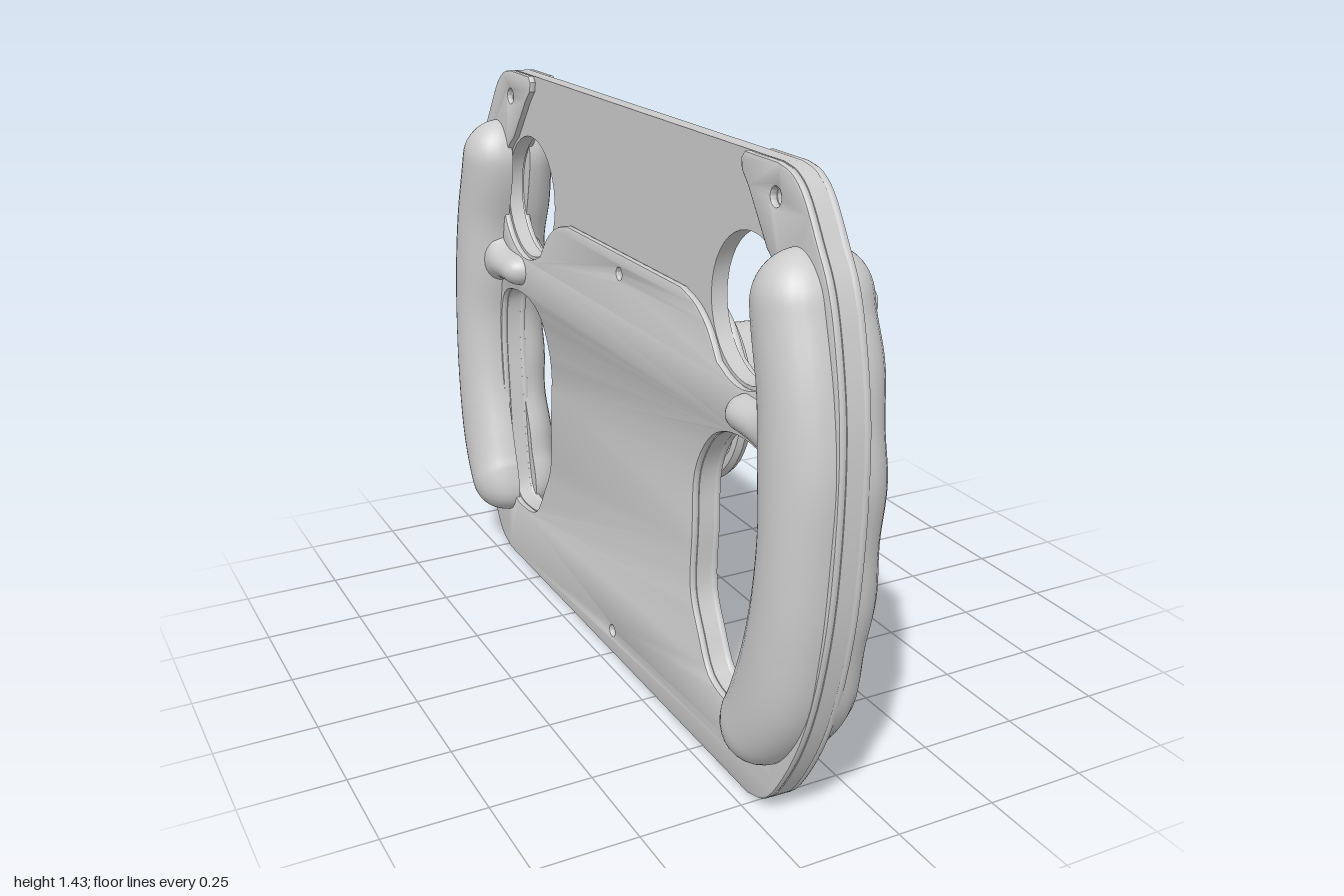
import * as THREE from 'three';
import { toCreasedNormals } from 'three/addons/utils/BufferGeometryUtils.js';

const V2 = (p) => new THREE.Vector2(p[0], p[1]);
const grey = new THREE.MeshStandardMaterial({ color: 0xcccccc, roughness: 0.6 });

// Drawing plane: x across the wheel, y up, z along the steering column.
const HUB_Y = 0.72;

function add(parent, name, geometry) {
  const mesh = new THREE.Mesh(geometry, grey);
  mesh.name = name;
  parent.add(mesh);
  return mesh;
}

function smooth(points, n, closed = false) {
  const c = new THREE.CatmullRomCurve3(points.map(([x, y]) => new THREE.Vector3(x, y, 0)), closed, 'centripetal');
  return c.getPoints(n).map((p) => [p.x, p.y]);
}

const mirror = (pts) => pts.map(([x, y]) => [-x, y]);
const symmetric = (half) => [...half, ...mirror(half).reverse()].map(V2);

function circle(x, y, r) {
  return new THREE.Path().absarc(x, y, r, 0, Math.PI * 2);
}

function slab(outline, holes, z0, z1, bevel) {
  const shape = new THREE.Shape(outline);
  shape.holes.push(...holes);
  const g = new THREE.ExtrudeGeometry(shape, {
    depth: z1 - z0 - 2 * bevel, bevelEnabled: bevel > 0, bevelSize: bevel,
    bevelThickness: bevel, bevelOffset: -bevel, bevelSegments: 2, curveSegments: 20,
  });
  g.translate(0, 0, z0 + bevel);
  return toCreasedNormals(g, 0.6);
}

function lathe(profile, segments = 48) {
  const g = new THREE.LatheGeometry(profile.map(V2), segments);
  g.rotateX(Math.PI / 2);
  return toCreasedNormals(g, 0.6);
}

// Rounded, flat-based bar along a path of [x, y, halfWidth]
function loft({ path, base, height, taper, wave = 0, side, face, rows = 72 }) {
  const curve = new THREE.CatmullRomCurve3(path.map((p) => new THREE.Vector3(...p)), false, 'centripetal');
  const cols = 28, pos = [], index = [];
  for (let i = 0; i <= rows; i++) {
    const s = (1 - Math.cos((Math.PI * i) / rows)) / 2;
    const p = curve.getPointAt(s), t = curve.getTangentAt(s);
    const len = Math.hypot(t.x, t.y);
    const d = Math.min(1, Math.min(s, 1 - s) / taper);
    const round = Math.max(0.001, Math.sqrt(1 - (1 - d) ** 2));
    const finger = 1 + wave * Math.cos(s * Math.PI * 10);
    for (let j = 0; j < cols; j++) {
      const a = (j / cols) * Math.PI * 2;
      const across = Math.cos(a) * p.z * round * finger;
      const up = Math.max(0, Math.sin(a)) ** 0.85 * height * round * finger;
      pos.push(side * (p.x + (t.y / len) * across), p.y - (t.x / len) * across, face * (base + up));
      if (i < rows) {
        const b = i * cols + j, c = i * cols + ((j + 1) % cols);
        const quad = [b, b + cols, c, c, b + cols, c + cols];
        index.push(...(side * face > 0 ? quad : quad.reverse()));
      }
    }
  }
  const g = new THREE.BufferGeometry();
  g.setAttribute('position', new THREE.Float32BufferAttribute(pos, 3));
  g.setIndex(index);
  g.computeVertexNormals();
  return g;
}

export function createModel() {
  const model = new THREE.Group();
  model.name = 'steeringWheel';
  const tilt = new THREE.Group();
  tilt.name = 'tiltedWheel';
  tilt.position.set(-0.155, HUB_Y, 0);
  tilt.rotation.z = -0.035;
  model.add(tilt);
  const wheel = new THREE.Group();
  wheel.name = 'wheel';
  wheel.rotation.y = Math.PI / 2;
  wheel.position.y = -HUB_Y;
  tilt.add(wheel);

  // Outer edge of one half, bottom to top
  const edge = smooth([[0.72, 0.003], [0.79, 0.03], [0.86, 0.12], [0.935, 0.28], [0.985, 0.5], [1, 0.72],
    [0.99, 0.95], [0.96, 1.1], [0.92, 1.22], [0.87, 1.3], [0.805, 1.39], [0.76, 1.42], [0.71, 1.43]], 48);

  // Openings shared by the core and its covers
  const lowerHole = smooth([[0.69, 0.19], [0.6, 0.178], [0.52, 0.2], [0.465, 0.28], [0.42, 0.37], [0.418, 0.52],
    [0.42, 0.67], [0.48, 0.77], [0.55, 0.81], [0.66, 0.82], [0.76, 0.79], [0.785, 0.7], [0.765, 0.5], [0.73, 0.3]], 56, true).slice(0, -1);
  const openings = () => [
    new THREE.Path(lowerHole.map(V2)), new THREE.Path(mirror(lowerHole).map(V2)),
    circle(0.71, 1.36, 0.02), circle(-0.71, 1.36, 0.02),
    circle(0, 1.03, 0.015), circle(0, 0.065, 0.015),
  ];

  // Thin core plate with round upper openings
  add(wheel, 'corePlate', slab(symmetric(edge),
    [...openings(), circle(0.6, 1.1, 0.165), circle(-0.6, 1.1, 0.165)], -0.02, 0.02, 0));

  // Raised cover on each face: upper ears, side rims and lower panel
  const arc = [];
  for (let i = 0; i <= 20; i++) {
    const a = THREE.MathUtils.degToRad(60 - i * 8.5);
    arc.push([0.6 + 0.171 * Math.cos(a), 1.1 + 0.171 * Math.sin(a)]);
  }
  const coverHalf = [...edge, [0.58, 1.43], [0.567, 1.415], [0.57, 1.39], [0.6, 1.36], ...arc,
    ...smooth([[0.5, 0.957], [0.45, 1.02], [0.39, 1.06], [0.32, 1.08]], 10)];
  add(wheel, 'frontCover', slab(symmetric(coverHalf), openings(), 0.019, 0.038, 0.006));
  add(wheel, 'backCover', slab(symmetric(coverHalf), openings(), -0.038, -0.019, 0.006));

  // Grips with thumb rests on both faces, left and right
  const gripPath = [[0.795, 1.28, 0.085], [0.82, 1.15, 0.1], [0.862, 1.0, 0.104], [0.882, 0.85, 0.11],
    [0.89, 0.7, 0.1], [0.873, 0.5, 0.104], [0.83, 0.33, 0.112], [0.77, 0.22, 0.1], [0.69, 0.15, 0.085]];
  const restPath = [[0.9, 0.89, 0.11], [0.81, 0.89, 0.085], [0.74, 0.885, 0.05], [0.67, 0.885, 0.042], [0.595, 0.885, 0.045]];
  for (const side of [1, -1]) {
    for (const face of [1, -1]) {
      const label = face > 0 ? 'front' : 'back';
      add(wheel, label + 'Grip', loft({
        path: gripPath, base: 0.026, height: face > 0 ? 0.1 : 0.106, taper: 0.09,
        wave: face > 0 ? 0.03 : 0, side, face,
      }));
      add(wheel, label + 'ThumbRest', loft({
        path: restPath, base: 0.026, height: 0.062, taper: 0.16, side, face, rows: 28,
      }));
    }
    // Grip bolts
    for (const [x, y, z] of [[0.82, 1.16, 0.126], [0.882, 0.845, 0.126], [0.835, 0.325, 0.126]]) {
      const bolt = add(wheel, 'gripBolt', lathe([[0.031, -0.02], [0.031, 0.002], [0.025, 0.006], [0.019, 0.002], [0.016, 0.002], [0.014, 0.005], [0, 0.005]], 20));
      bolt.position.set(side * x, y, z);
    }
  }

  // Hub base disc with a ring of mounting holes
  const hub = new THREE.Group();
  hub.name = 'hub';
  hub.position.y = HUB_Y;
  wheel.add(hub);
  const bolts = [];
  for (let i = 0; i < 12; i++) {
    const a = (i / 12) * Math.PI * 2;
    bolts.push(circle(0.185 * Math.cos(a), 0.185 * Math.sin(a), i % 2 ? 0.015 : 0.023));
  }
  const disc = Array.from({ length: 64 }, (_, i) => V2([0.242 * Math.cos(i * Math.PI / 32), 0.242 * Math.sin(i * Math.PI / 32)]));
  add(hub, 'hubBaseDisc', slab(disc, bolts, 0.037, 0.056, 0.003));

  // Spindle and stepped collar
  add(hub, 'spindle', lathe([[0.075, 0.05], [0.075, 0.118], [0.122, 0.118], [0.122, 0.138], [0.148, 0.142], [0.15, 0.15], [0.15, 0.19]]));

  // Release ring with rounded rim
  add(hub, 'releaseRing', lathe([[0.1, 0.185], [0.215, 0.185], [0.225, 0.18], [0.24, 0.184], [0.247, 0.2],
    [0.24, 0.216], [0.225, 0.22], [0.215, 0.214], [0.1, 0.214]]));

  // Barrel with a recessed end and a bore
  add(hub, 'barrel', lathe([[0.155, 0.2], [0.155, 0.228], [0.146, 0.234], [0.146, 0.435], [0.141, 0.44],
    [0.126, 0.44], [0.122, 0.425], [0.076, 0.425], [0.076, 0.37], [0, 0.37]]));

  return model;
}
